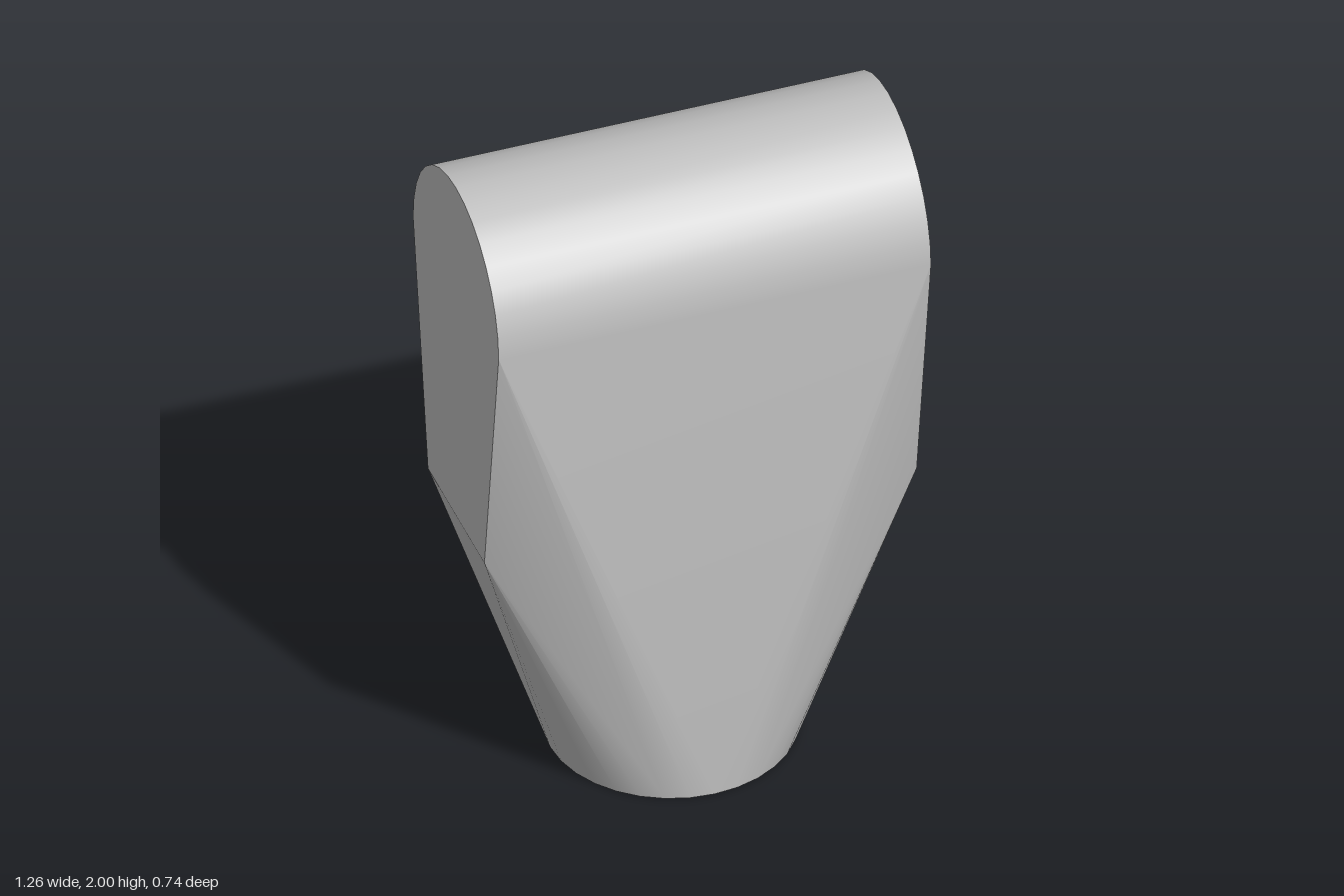
import * as THREE from 'three';
import { ConvexGeometry } from 'three/addons/geometries/ConvexGeometry.js';
import { toCreasedNormals } from 'three/addons/utils/BufferGeometryUtils.js';

const HALF_WIDTH = 0.63;

// Flat end outline: round top tapering to a straight lower edge
function endProfile(x) {
  const points = [];
  const steps = 16, radius = 0.345, centreY = 1.655, centreZ = 0.015;
  for (let i = 0; i <= steps; i++) {
    const a = (i / steps) * Math.PI;
    points.push(new THREE.Vector3(x, centreY + radius * Math.sin(a), centreZ + radius * Math.cos(a)));
  }
  points.push(new THREE.Vector3(x, 0.87, 0.245), new THREE.Vector3(x, 0.87, -0.21));
  return points;
}

// Round foot on the ground
function footCircle() {
  const points = [];
  const steps = 32, radius = 0.352;
  for (let i = 0; i < steps; i++) {
    const a = (i / steps) * Math.PI * 2;
    points.push(new THREE.Vector3(-0.004 + radius * Math.sin(a), 0, 0.018 + radius * Math.cos(a)));
  }
  return points;
}

export function createModel() {
  const group = new THREE.Group();
  group.name = 'taperedBlock';

  const grey = new THREE.MeshStandardMaterial({ color: 0xc0c0c0 });
  grey.name = 'light grey';

  // Small ridge bulging out of the back near one end
  const backRidge = [
    new THREE.Vector3(-0.55, 1.7, -0.373),
    new THREE.Vector3(-0.4, 1.7, -0.373),
  ];

  // Body: taut skin stretched over the two ends, the foot and the ridge
  const hull = new ConvexGeometry([
    ...endProfile(-HALF_WIDTH),
    ...endProfile(HALF_WIDTH),
    ...footCircle(),
    ...backRidge,
  ]);
  const body = new THREE.Mesh(toCreasedNormals(hull, 0.3), grey);
  body.name = 'body';
  group.add(body);

  return group;
}
